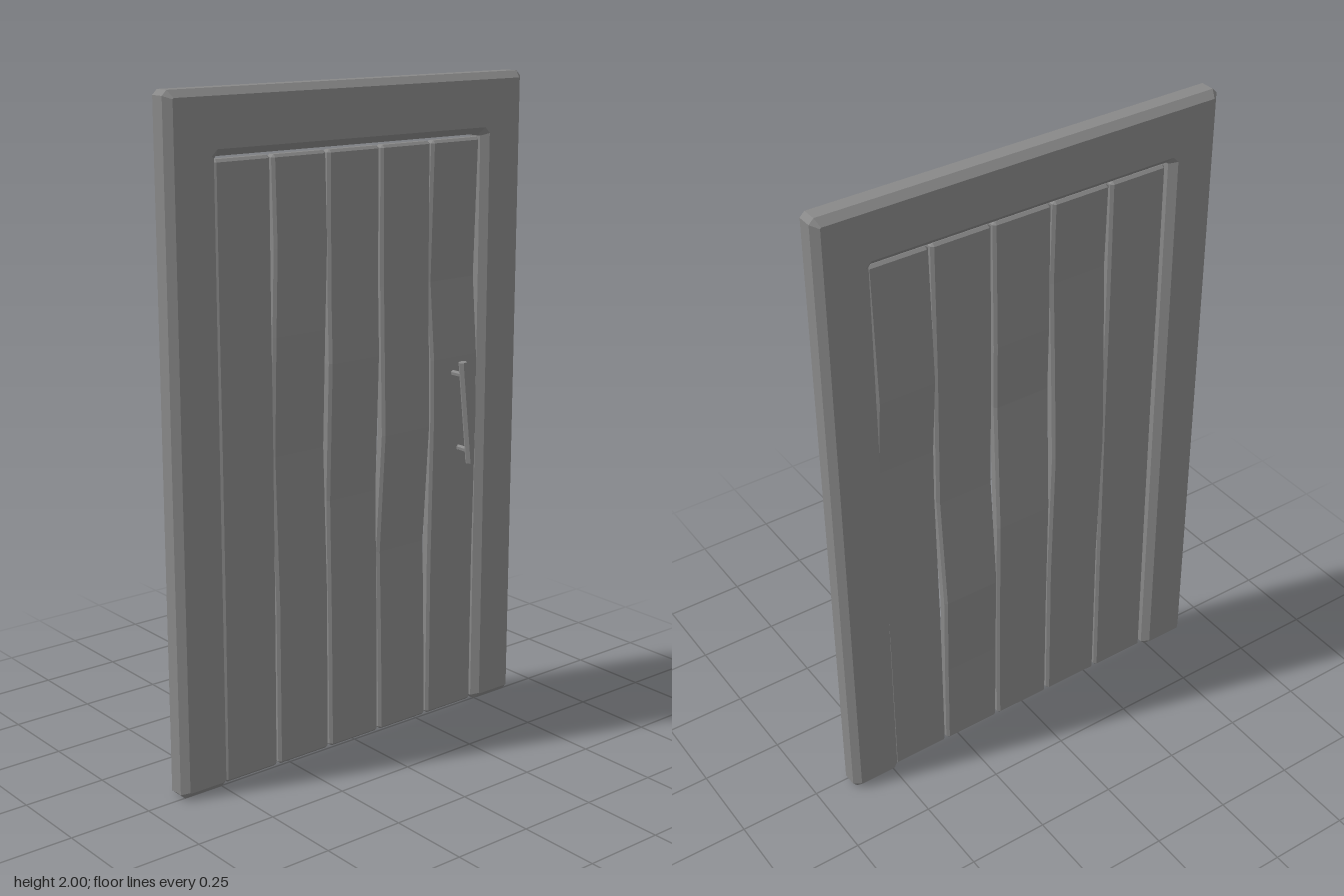
import * as THREE from 'three';

const material = new THREE.MeshStandardMaterial({ color: 0x888888, flatShading: true });

function addMesh(parent, name, geometry) {
  const mesh = new THREE.Mesh(geometry, material);
  mesh.name = name;
  parent.add(mesh);
  return mesh;
}

// Outline with each corner [x, y, cut] trimmed by its own cut
function trimmedShape(corners) {
  const points = [];
  corners.forEach(([x, y, cut], i) => {
    const here = new THREE.Vector2(x, y);
    for (const step of [-1, 1]) {
      const [nx, ny] = corners[(i + step + corners.length) % corners.length];
      const toward = new THREE.Vector2(nx, ny).sub(here).setLength(cut);
      points.push(here.clone().add(toward));
    }
  });
  return new THREE.Shape(points);
}

// Bevelled surround: two legs and a head in one piece
function frameGeometry() {
  const bevel = 0.02, small = 0.003, wide = 0.018;
  const shape = trimmedShape([
    [-0.622, 0.02, small], [-0.503, 0.02, small], [-0.503, 1.84, wide],
    [0.503, 1.84, wide], [0.503, 0.02, small], [0.622, 0.02, small],
    [0.622, 1.98, small], [-0.622, 1.98, small],
  ]);
  const geometry = new THREE.ExtrudeGeometry(shape, {
    depth: 0.0445, bevelEnabled: true, bevelSegments: 1,
    bevelSize: bevel, bevelThickness: bevel,
  });
  return geometry.translate(0, 0, -0.0425);
}

// Warped board: an eight-sided section lofted through rows of [y, dx, dz]
function plankGeometry(bends) {
  const halfW = 0.094, halfT = 0.018, b = 0.008, top = 1.81;
  const rows = [[0, 0, 0, b], [b, 0, 0, 0], ...bends.map((r) => [...r, 0]), [top - b, 0, 0, 0], [top, 0, 0, b]];
  const positions = [];
  for (const [y, dx, dz, inset] of rows) {
    const w = halfW - inset, t = halfT - inset;
    const c = inset ? 0.001 : b;
    const ring = [[w, t - c], [w - c, t], [-w + c, t], [-w, t - c], [-w, -t + c], [-w + c, -t], [w - c, -t], [w, -t + c]];
    for (const [x, z] of ring) positions.push(x + dx, y, z + dz);
  }
  const index = [], last = (rows.length - 1) * 8;
  for (let r = 0; r < rows.length - 1; r++) {
    for (let i = 0; i < 8; i++) {
      const a = r * 8 + i, d = r * 8 + (i + 1) % 8;
      index.push(a, a + 8, d, d, a + 8, d + 8);
    }
  }
  for (let i = 1; i < 7; i++) {
    index.push(0, i, i + 1);
    index.push(last, last + i + 1, last + i);
  }
  const geometry = new THREE.BufferGeometry();
  geometry.setAttribute('position', new THREE.Float32BufferAttribute(positions, 3));
  geometry.setIndex(index);
  const flat = geometry.toNonIndexed();
  flat.computeVertexNormals();
  return flat;
}

export function createModel() {
  const door = new THREE.Group();
  door.name = 'door';
  addMesh(door, 'frame', frameGeometry());

  // Five boards, each with its own gentle warp
  const warps = [
    [[0.5, 0.002, 0], [1.0, -0.001, 0.004], [1.4, 0, 0]],
    [[0.5, 0, 0], [0.95, -0.004, -0.01], [1.3, -0.004, 0.002], [1.55, 0, 0.007]],
    [[0.4, 0.001, -0.004], [0.78, 0.002, -0.012], [1.2, -0.009, 0.016], [1.41, -0.005, 0.006]],
    [[0.3, 0, -0.005], [0.58, 0, -0.013], [0.95, 0.001, 0.011], [1.4, 0, 0.002]],
    [[0.5, 0.001, 0], [0.98, 0.004, 0.006], [1.15, 0.003, 0.004], [1.39, -0.001, -0.012]],
  ];
  const planks = new THREE.Group();
  planks.name = 'planks';
  door.add(planks);
  warps.forEach((bends, i) => {
    addMesh(planks, 'plank', plankGeometry(bends)).position.set(0.003 + (i - 2) * 0.1945, 0, -0.02);
  });

  // Tilted pull handle: hexagonal bar on two posts
  const handle = new THREE.Group();
  handle.name = 'handle';
  handle.position.set(0.4, 0.983, 0);
  handle.rotation.z = 0.11;
  door.add(handle);
  const bar = addMesh(handle, 'handleBar', new THREE.CylinderGeometry(0.0135, 0.0135, 0.324, 6));
  bar.rotation.y = Math.PI / 6;
  bar.position.z = 0.05;
  for (const y of [0.12, -0.122]) {
    const post = addMesh(handle, 'handlePost', new THREE.CylinderGeometry(0.009, 0.009, 0.06, 6));
    post.rotation.x = Math.PI / 2;
    post.position.set(0, y, 0.018);
  }
  return door;
}
